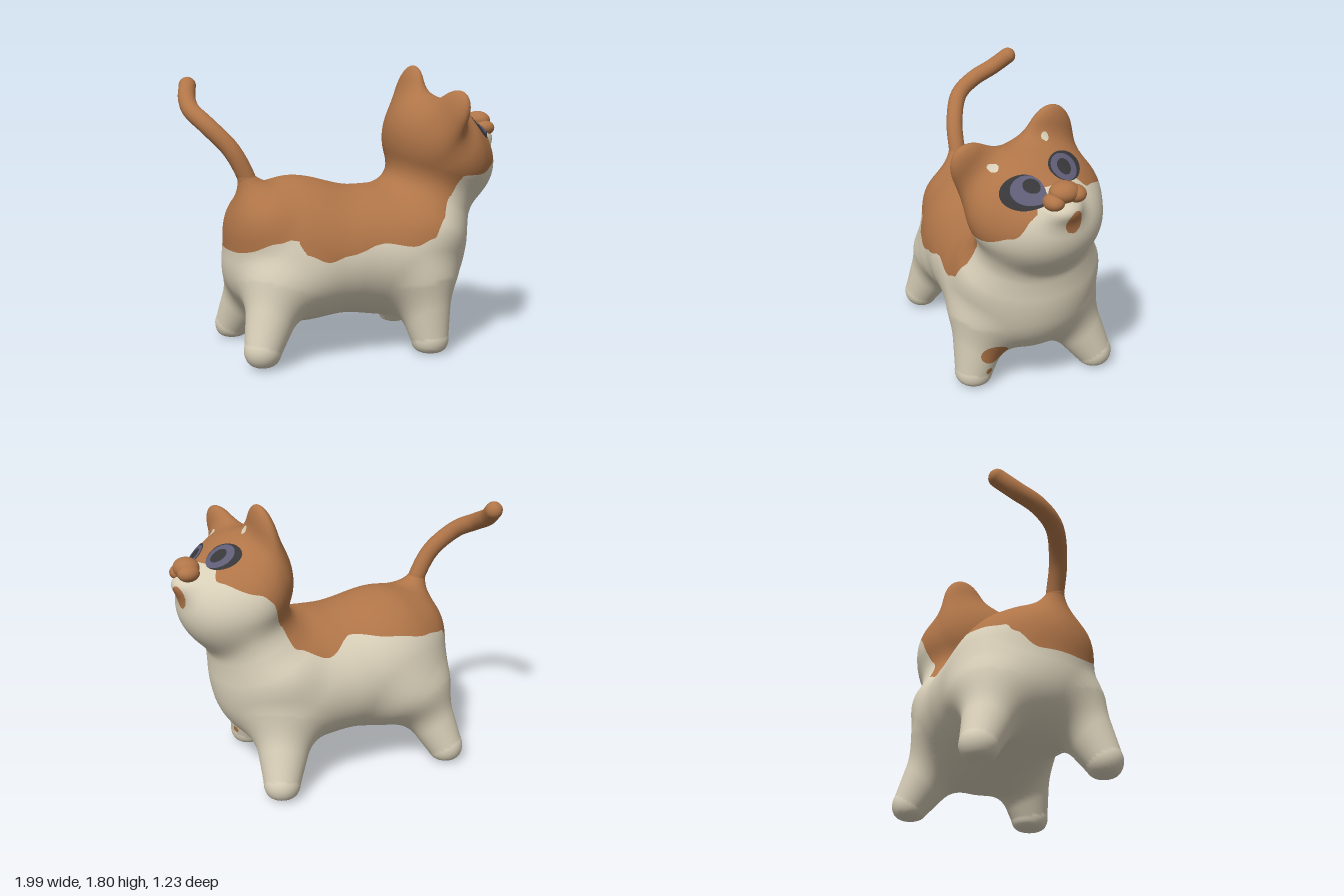
import * as THREE from 'three';

const mat = (name, color) => {
  const m = new THREE.MeshStandardMaterial({ color });
  m.name = name;
  return m;
};

// Body parts: ellipsoids (centre, radii, rotation) and tapered limbs (end a to end b, radii)
const ball = (name, c, r, rot = [0, 0, 0]) => {
  const q = new THREE.Quaternion().setFromEuler(new THREE.Euler(...rot));
  return { name, c: new THREE.Vector3(...c), r: new THREE.Vector3(...r), q, qi: q.clone().invert() };
};
const limb = (name, a, ra, b, rb) =>
  ({ name, a: new THREE.Vector3(...a), b: new THREE.Vector3(...b), ra, rb });

const PARTS = [
  ball('torso', [-0.03, 0.635, -0.01], [0.72, 0.41, 0.475], [0, -0.19, 0]),
  ball('hindquarters', [-0.37, 0.67, -0.07], [0.435, 0.45, 0.43]),
  ball('haunches', [-0.41, 0.51, -0.09], [0.37, 0.28, 0.465]),
  ball('chest', [0.3, 0.61, 0.05], [0.445, 0.42, 0.475]),
  ball('shoulders', [0.42, 0.77, 0.06], [0.31, 0.27, 0.45]),
  ball('rump', [-0.6, 0.84, -0.04], [0.19, 0.21, 0.28]),
  ball('neck', [0.51, 0.96, 0.08], [0.26, 0.24, 0.365]),
  ball('head', [0.57, 1.25, 0.12], [0.285, 0.375, 0.43], [0, 0, 0.52]),
  ball('cheeks', [0.73, 1.18, 0.1], [0.215, 0.24, 0.29]),
  ball('muzzle', [0.895, 1.33, 0.13], [0.085, 0.05, 0.09]),
  ball('rightEar', [0.45, 1.52, -0.035], [0.075, 0.28, 0.17], [0, 0, -0.15]),
  ball('leftEar', [0.46, 1.46, 0.425], [0.075, 0.235, 0.15], [0.75, 0, -0.18]),
  limb('frontLeftLeg', [0.36, 0.09, 0.42], 0.12, [0.34, 0.43, 0.34], 0.2),
  limb('frontRightLeg', [0.54, 0.095, -0.36], 0.115, [0.42, 0.43, -0.19], 0.205),
  limb('hindLeftLeg', [-0.72, 0.11, 0.26], 0.115, [-0.58, 0.44, 0.16], 0.19),
  limb('hindRightLeg', [-0.62, 0.095, -0.5], 0.115, [-0.51, 0.44, -0.33], 0.19),
  limb('tailRoot', [-0.63, 0.95, -0.02], 0.1, [-0.7, 1.13, -0.03], 0.052),
];

// Signed distance to one part
const v = new THREE.Vector3(), ab = new THREE.Vector3();
function partDistance(s, x, y, z) {
  if (s.r) {
    v.set(x, y, z).sub(s.c).applyQuaternion(s.qi).divide(s.r);
    const k = v.length();
    return k * (k - 1) / (v.divide(s.r).length() + 1e-9);
  }
  ab.subVectors(s.b, s.a);
  v.set(x, y, z).sub(s.a);
  const t = THREE.MathUtils.clamp(v.dot(ab) / ab.lengthSq(), 0, 1);
  return v.addScaledVector(ab, -t).length() - THREE.MathUtils.lerp(s.ra, s.rb, t);
}

// All parts melted together with soft fillets, and the soles flattened on the ground
const FILLET = 0.11, SOLE = 0.04;
const overlap = (a, b, k) => (Math.max(k - Math.abs(a - b), 0) / k) ** 2 * k / 4;
function skin(x, y, z) {
  let d = 1e3;
  for (const s of PARTS) {
    const e = partDistance(s, x, y, z);
    d = Math.min(d, e) - overlap(d, e, FILLET);
  }
  return Math.max(d, -y) + overlap(d, -y, SOLE);
}
function slope(p, out) {
  const e = 0.001;
  return out.set(
    skin(p.x + e, p.y, p.z) - skin(p.x - e, p.y, p.z),
    skin(p.x, p.y + e, p.z) - skin(p.x, p.y - e, p.z),
    skin(p.x, p.y, p.z + e) - skin(p.x, p.y, p.z - e)).divideScalar(2 * e);
}

// A part's own sphere, shaped to the part and then drawn onto the common skin;
// points buried inside another part get a zero normal
function partGeometry(s) {
  const geo = new THREE.SphereGeometry(1, 72, 48);
  const pos = geo.attributes.position, nor = geo.attributes.normal;
  const p = new THREE.Vector3(), g = new THREE.Vector3(), axis = new THREE.Vector3();
  for (let i = 0; i < pos.count; i++) {
    p.fromBufferAttribute(pos, i);
    if (s.r) p.multiply(s.r).applyQuaternion(s.q).add(s.c);
    else {
      const t = (p.y + 1) / 2;
      p.multiplyScalar(THREE.MathUtils.lerp(s.ra, s.rb, t)).add(axis.lerpVectors(s.a, s.b, t));
    }
    let d = skin(p.x, p.y, p.z);
    if (d > -0.13) {
      for (let n = 0; n < 14 && Math.abs(d) > 1e-4; n++) {
        slope(p, g);
        p.addScaledVector(g, -d / Math.max(g.lengthSq(), 0.25));
        d = skin(p.x, p.y, p.z);
      }
    }
    if (Math.abs(d) < 0.002) slope(p, g).normalize();
    else g.set(0, 0, 0);
    pos.setXYZ(i, p.x, p.y, p.z);
    nor.setXYZ(i, g.x, g.y, g.z);
  }
  return geo;
}

// Coat pattern: height of the ginger edge along each flank and across the face
const LEFT = [[-0.81, 0.68], [-0.62, 0.76], [-0.52, 0.79], [-0.47, 0.69], [-0.34, 0.64], [-0.2, 0.68],
  [0, 0.74], [0.2, 0.71], [0.32, 0.75], [0.4, 0.85], [0.48, 1.0], [0.54, 1.13]];
const RIGHT = [[-0.8, 0.69], [-0.72, 0.8], [-0.66, 0.86], [-0.5, 0.89], [-0.24, 0.93], [0, 0.96], [0.2, 0.87],
  [0.4, 0.95], [0.47, 1.1], [0.55, 1.26], [0.64, 1.33]];
const FACE = [[-0.33, 1.33], [-0.1, 1.39], [0, 1.46], [0.24, 1.44], [0.3, 1.3], [0.41, 1.18], [0.52, 1.13]];
function along(points, x) {
  const i = points.findIndex((q) => q[0] > x);
  if (i === 0) return points[0][1];
  if (i < 0) return points[points.length - 1][1];
  const [a, b] = [points[i - 1], points[i]];
  return THREE.MathUtils.lerp(a[1], b[1], THREE.MathUtils.smoothstep(x, a[0], b[0]));
}
// Spots as small ellipsoids: centre, radii
const GINGER_SPOTS = [
  [0.52, 0.255, 0.35, 0.12, 0.07, 0.092], [0.46, 0.125, 0.375, 0.09, 0.022, 0.025], [0.95, 1.27, 0.095, 0.1, 0.075, 0.055]];
const CREAM_SPOTS = [[0.615, 1.535, 0.415, 0.055, 0.034, 0.045], [0.625, 1.56, 0.38, 0.055, 0.034, 0.045],
  [0.565, 1.645, 0.04, 0.035, 0.035, 0.03]];
const inSpot = (s, x, y, z) => 0.05 * (1 - Math.hypot((x - s[0]) / s[3], (y - s[1]) / s[4], (z - s[2]) / s[5]));
function ginger(x, y, z) {
  const { lerp, smoothstep } = THREE.MathUtils;
  const flank = lerp(along(RIGHT, x), along(LEFT, x), smoothstep(z, -0.2, 0.2));
  let c = y - lerp(flank, along(FACE, z), smoothstep(x, 0.5, 0.64));
  for (const s of GINGER_SPOTS) c = Math.max(c, inSpot(s, x, y, z));
  for (const s of CREAM_SPOTS) c = Math.min(c, -inSpot(s, x, y, z));
  return c;
}

// Cut every triangle along the coat edge into two material groups, leaving out the buried ones
function splitCoat(geo) {
  const { position: P, normal: N } = geo.attributes, index = geo.index;
  const verts = [];
  for (let i = 0; i < P.count; i++) {
    const p = [P.getX(i), P.getY(i), P.getZ(i)];
    verts.push({ d: [...p, N.getX(i), N.getY(i), N.getZ(i)], c: ginger(...p) });
  }
  const agree = (a, b) => a.d[3] * b.d[3] + a.d[4] * b.d[4] + a.d[5] * b.d[5] > 0.2;
  const out = new THREE.BufferGeometry(), pos = [], nor = [];
  [1, -1].forEach((side, group) => {
    const start = pos.length / 3;
    for (let t = 0; t < index.count; t += 3) {
      const tri = [0, 1, 2].map((k) => verts[index.getX(t + k)]);
      if (!tri.every((a, k) => agree(a, tri[(k + 1) % 3]))) continue;
      const poly = [];
      tri.forEach((a, k) => {
        const b = tri[(k + 1) % 3], isIn = a.c * side > 0;
        if (isIn) poly.push(a.d);
        if (isIn !== b.c * side > 0) {
          const f = a.c / (a.c - b.c);
          poly.push(a.d.map((n, j) => n + (b.d[j] - n) * f));
        }
      });
      for (let k = 2; k < poly.length; k++) {
        for (const d of [poly[0], poly[k - 1], poly[k]]) {
          pos.push(d[0], d[1], d[2]);
          nor.push(d[3], d[4], d[5]);
        }
      }
    }
    out.addGroup(start, pos.length / 3 - start, group);
  });
  out.setAttribute('position', new THREE.Float32BufferAttribute(pos, 3));
  out.setAttribute('normal', new THREE.Float32BufferAttribute(nor, 3));
  return out;
}

// Thin oval laid on the face from the front (+x)
function faceOval(z, y, halfWidth, halfHeight, tilt, lift) {
  const geo = new THREE.RingGeometry(0.001, 1, 40, 8);
  geo.scale(halfWidth, halfHeight, 1).rotateZ(tilt).rotateY(Math.PI / 2).translate(1.2, y, z);
  const pos = geo.attributes.position, p = new THREE.Vector3(), g = new THREE.Vector3();
  for (let i = 0; i < pos.count; i++) {
    p.fromBufferAttribute(pos, i);
    for (let n = 0; n < 50 && p.x > 0.5; n++) p.x -= 0.7 * (skin(p.x, p.y, p.z) - lift);
    slope(p, g).normalize();
    pos.setXYZ(i, p.x, p.y, p.z);
    geo.attributes.normal.setXYZ(i, g.x, g.y, g.z);
  }
  return geo;
}

export function createModel() {
  const model = new THREE.Group();
  model.name = 'cat';
  const fur = mat('gingerFur', 0xb07548), cream = mat('creamFur', 0xd8cfb8);
  const dark = mat('eyeDark', 0x37373a), iris = mat('irisViolet', 0x5f5c76);
  const add = (name, geo, material, parent = model) => {
    const mesh = new THREE.Mesh(geo, material);
    mesh.name = name;
    parent.add(mesh);
    return mesh;
  };

  // Body, head, ears and legs
  for (const s of PARTS) add(s.name, splitCoat(partGeometry(s)), [fur, cream]);

  // Tail with a rounded tip
  const path = new THREE.CatmullRomCurve3([[-0.64, 0.95, -0.02], [-0.69, 1.12, -0.03], [-0.78, 1.3, -0.06],
    [-0.9, 1.45, -0.16], [-0.945, 1.53, -0.3], [-0.925, 1.6, -0.44], [-0.885, 1.675, -0.54]]
    .map((p) => new THREE.Vector3(...p)));
  add('tail', new THREE.TubeGeometry(path, 48, 0.055, 20), fur);
  add('tailTip', new THREE.SphereGeometry(0.055, 20, 14), fur).position.copy(path.getPoint(1));

  // Nose of three soft lumps
  const nose = new THREE.Group();
  nose.name = 'nose';
  model.add(nose);
  for (const [name, p, r] of [['noseBridge', [0.895, 1.435, 0.125], [0.078, 0.062, 0.09]],
    ['noseLeft', [0.9, 1.39, 0.195], [0.07, 0.05, 0.06]], ['noseRight', [0.91, 1.42, 0.06], [0.068, 0.05, 0.06]]]) {
    const lump = add(name, new THREE.SphereGeometry(1, 28, 20), fur, nose);
    lump.position.set(...p);
    lump.scale.set(...r);
  }

  // Eyes: rim, iris and pupil
  add('leftEyeRim', faceOval(0.315, 1.42, 0.122, 0.075, 0.35, 0.004), dark);
  add('leftIris', faceOval(0.29, 1.433, 0.093, 0.062, 0.35, 0.008), iris);
  add('leftPupil', faceOval(0.265, 1.455, 0.047, 0.031, 0.2, 0.012), dark);
  add('rightEyeRim', faceOval(0.005, 1.505, 0.115, 0.06, -0.08, 0.004), dark);
  add('rightIris', faceOval(0.018, 1.506, 0.088, 0.055, -0.08, 0.008), iris);
  add('rightPupil', faceOval(0.022, 1.51, 0.046, 0.033, 0, 0.012), dark);
  return model;
}
